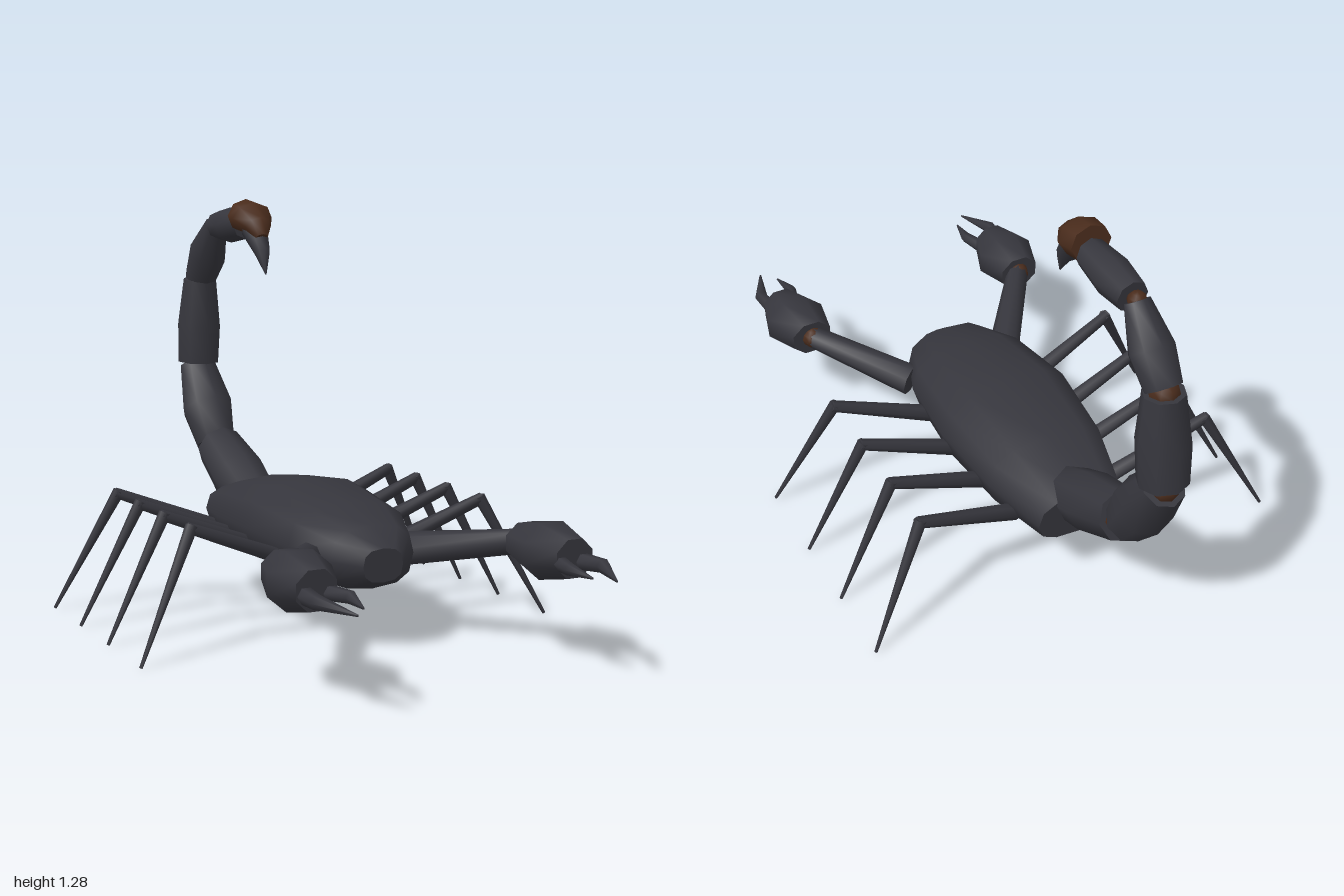
import * as THREE from 'three';

const shell = new THREE.MeshStandardMaterial({ color: 0x36363d });
shell.name = 'charcoal shell';
const brown = new THREE.MeshStandardMaterial({ color: 0x4a2c1c });
brown.name = 'dark brown';

const X = new THREE.Vector3(1, 0, 0);
const Z = new THREE.Vector3(0, 0, 1);

// Closed loft through stations [x, y, z, radius along ref, radius across]
function loft(stations, { ref = X, sides = 8, phase = 0, power = 1, dir = null } = {}) {
  const centres = stations.map((s) => new THREE.Vector3(s[0], s[1], s[2]));
  const n = stations.length;
  const pos = [];
  const index = [];
  const soft = (v) => Math.sign(v) * Math.pow(Math.abs(v), power);
  const ring = (i) => {
    const t = dir ? dir.clone() : centres[Math.min(i + 1, n - 1)].clone().sub(centres[Math.max(i - 1, 0)]).normalize();
    const s = ref.clone().addScaledVector(t, -ref.dot(t)).normalize();
    const u = t.clone().cross(s);
    const [, , , a, b = a] = stations[i];
    for (let j = 0; j < sides; j++) {
      const k = ((j + phase) / sides) * Math.PI * 2;
      const p = centres[i].clone().addScaledVector(s, a * soft(Math.cos(k))).addScaledVector(u, b * soft(Math.sin(k)));
      pos.push(p.x, p.y, p.z);
    }
  };
  for (let i = 0; i < n; i++) ring(i);
  for (let i = 0; i < n - 1; i++) {
    for (let j = 0; j < sides; j++) {
      const a = i * sides + j;
      const b = i * sides + ((j + 1) % sides);
      index.push(a, b, a + sides, b, b + sides, a + sides);
    }
  }
  // separate cap vertices keep the end rims sharp
  for (const end of [0, n - 1]) {
    const start = pos.length / 3;
    ring(end);
    pos.push(centres[end].x, centres[end].y, centres[end].z);
    for (let j = 0; j < sides; j++) {
      const a = start + j;
      const b = start + ((j + 1) % sides);
      if (end === 0) index.push(start + sides, b, a);
      else index.push(start + sides, a, b);
    }
  }
  const g = new THREE.BufferGeometry();
  g.setAttribute('position', new THREE.Float32BufferAttribute(pos, 3));
  g.setIndex(index);
  g.computeVertexNormals();
  return g;
}

function add(parent, name, geometry, material = shell) {
  const m = new THREE.Mesh(geometry, material);
  m.name = name;
  parent.add(m);
  return m;
}

function joint(parent, name, x, y, z, r) {
  add(parent, name, new THREE.SphereGeometry(r, 8, 6), brown).position.set(x, y, z);
}

export function createModel() {
  const model = new THREE.Group();
  model.name = 'scorpion';

  // Body: z, half width, top, bottom
  const body = [
    [-0.53, 0.145, 0.35, 0.2],
    [-0.32, 0.2, 0.41, 0.18],
    [-0.06, 0.225, 0.44, 0.178],
    [0.2, 0.198, 0.41, 0.18],
    [0.35, 0.138, 0.37, 0.182],
    [0.418, 0.065, 0.315, 0.215],
  ].map(([z, w, top, low]) => [0, (top + low) / 2, z, w, (top - low) / 2]);
  add(model, 'body', loft(body, { sides: 12, power: 0.75, dir: Z }));

  // Tail segments: start z, y, radius, middle radius, end z, y, radius
  const tail = new THREE.Group();
  tail.name = 'tail';
  model.add(tail);
  [
    [-0.45, 0.295, 0.08, 0.092, -0.75, 0.438, 0.078],
    [-0.775, 0.445, 0.068, 0.09, -0.935, 0.7, 0.063],
    [-0.927, 0.715, 0.074, 0.078, -0.905, 1.0, 0.06],
    [-0.9, 1.01, 0.055, 0.066, -0.757, 1.195, 0.038],
    [-0.735, 1.193, 0.047, 0.058, -0.52, 1.202, 0.046],
  ].forEach(([z0, y0, r0, rm, z1, y1, r1], i) => {
    const at = (t, r) => [0, y0 + (y1 - y0) * t, z0 + (z1 - z0) * t, r];
    add(tail, 'tailSegment' + (i + 1), loft([at(0, r0), at(0.45, rm), at(1, r1)]));
    if (i < 4) joint(tail, 'tailJoint' + (i + 1), 0, y1, z1, r1 * 0.75);
  });

  // Stinger: brown bulb and dark hooked point
  add(tail, 'stingerBulb', loft([
    [0, 1.232, -0.525, 0.062, 0.054],
    [0, 1.225, -0.47, 0.07, 0.053],
    [0, 1.2, -0.425, 0.045, 0.04],
    [0, 1.165, -0.4, 0.022, 0.022],
  ]), brown);
  add(tail, 'stingerPoint', loft([
    [0, 1.195, -0.455, 0.045, 0.045],
    [0, 1.12, -0.393, 0.026, 0.026],
    [0, 1.05, -0.367, 0.002, 0.002],
  ]));

  for (const [side, s] of [['left', 1], ['right', -1]]) {
    // Legs: z at the hip, knee and foot
    [
      [0.115, 0.155, 0.238],
      [-0.07, -0.05, -0.028],
      [-0.235, -0.247, -0.268],
      [-0.4, -0.437, -0.513],
    ].forEach(([hip, knee, foot], i) => {
      const leg = new THREE.Group();
      leg.name = side + 'Leg' + (i + 1);
      model.add(leg);
      add(leg, 'upperLeg', loft([[s * 0.15, 0.235, hip, 0.027], [s * 0.495, 0.373, knee, 0.018]], { ref: Z, sides: 6 }));
      add(leg, 'lowerLeg', loft([[s * 0.483, 0.378, knee, 0.019], [s * 0.677, 0.003, foot, 0.005]], { ref: Z, sides: 6 }));
    });

    // Claw arm, palm and two curved fingers
    const claw = new THREE.Group();
    claw.name = side + 'Claw';
    model.add(claw);
    add(claw, 'arm', loft([[s * 0.17, 0.27, 0.27, 0.05], [s * 0.385, 0.328, 0.565, 0.036]]));
    joint(claw, 'wrist', s * 0.385, 0.328, 0.56, 0.036);
    add(claw, 'palm', loft([
      [s * 0.388, 0.327, 0.56, 0.07, 0.06],
      [s * 0.397, 0.322, 0.68, 0.103, 0.088],
      [s * 0.402, 0.32, 0.79, 0.064, 0.06],
    ], { phase: 0.5, dir: Z }));
    add(claw, 'outerFinger', loft([
      [s * 0.43, 0.308, 0.77, 0.026],
      [s * 0.442, 0.312, 0.87, 0.021],
      [s * 0.393, 0.302, 1.0, 0.003],
    ], { sides: 6 }));
    add(claw, 'innerFinger', loft([
      [s * 0.365, 0.308, 0.77, 0.023],
      [s * 0.338, 0.311, 0.86, 0.018],
      [s * 0.35, 0.304, 0.95, 0.003],
    ], { sides: 6 }));
  }
  return model;
}
